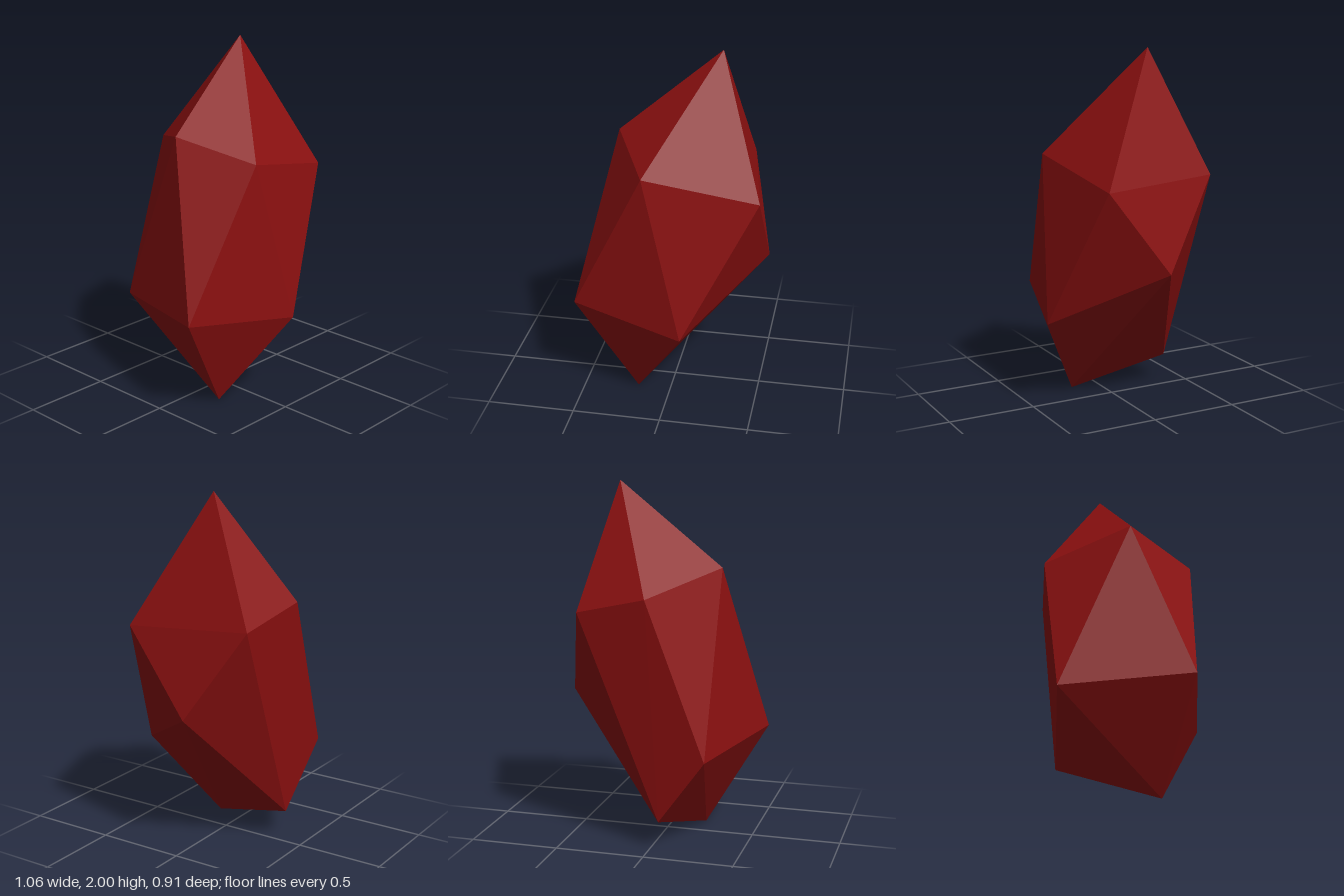
import * as THREE from 'three';

// Irregular faceted crystal: two tips joined by two staggered five-point rings.
export function createModel() {
  const group = new THREE.Group();
  group.name = 'crystal';

  const top = [0.245, 2.0, -0.085];
  const bottom = [-0.19, 0, 0.165];
  // Rings run counter-clockwise seen from above, starting at the front
  const upper = [
    [-0.12, 1.41, 0.37], [0.505, 1.28, 0.285], [0.40, 1.31, -0.395],
    [0, 1.405, -0.458], [-0.32, 1.53, -0.03],
  ];
  // Each lower point sits between upper points i and i + 1
  const lower = [
    [0.105, 0.5, 0.455], [0.53, 0.81, -0.075], [-0.05, 0.16, -0.375],
    [-0.32, 0.53, -0.425], [-0.533, 0.58, 0.27],
  ];

  // Cap, belt and base facets
  const corners = [];
  for (let i = 0; i < 5; i++) {
    const j = (i + 1) % 5;
    corners.push(top, upper[i], upper[j]);
    corners.push(upper[i], lower[i], upper[j]);
    corners.push(lower[i], lower[j], upper[j]);
    corners.push(bottom, lower[j], lower[i]);
  }
  const geometry = new THREE.BufferGeometry();
  geometry.setAttribute('position', new THREE.Float32BufferAttribute(corners.flat(), 3));
  geometry.computeVertexNormals();

  const darkRed = new THREE.MeshStandardMaterial({ color: 0x8b1010 });
  darkRed.name = 'darkRed';
  darkRed.flatShading = true;

  const body = new THREE.Mesh(geometry, darkRed);
  body.name = 'crystalBody';
  group.add(body);
  return group;
}
